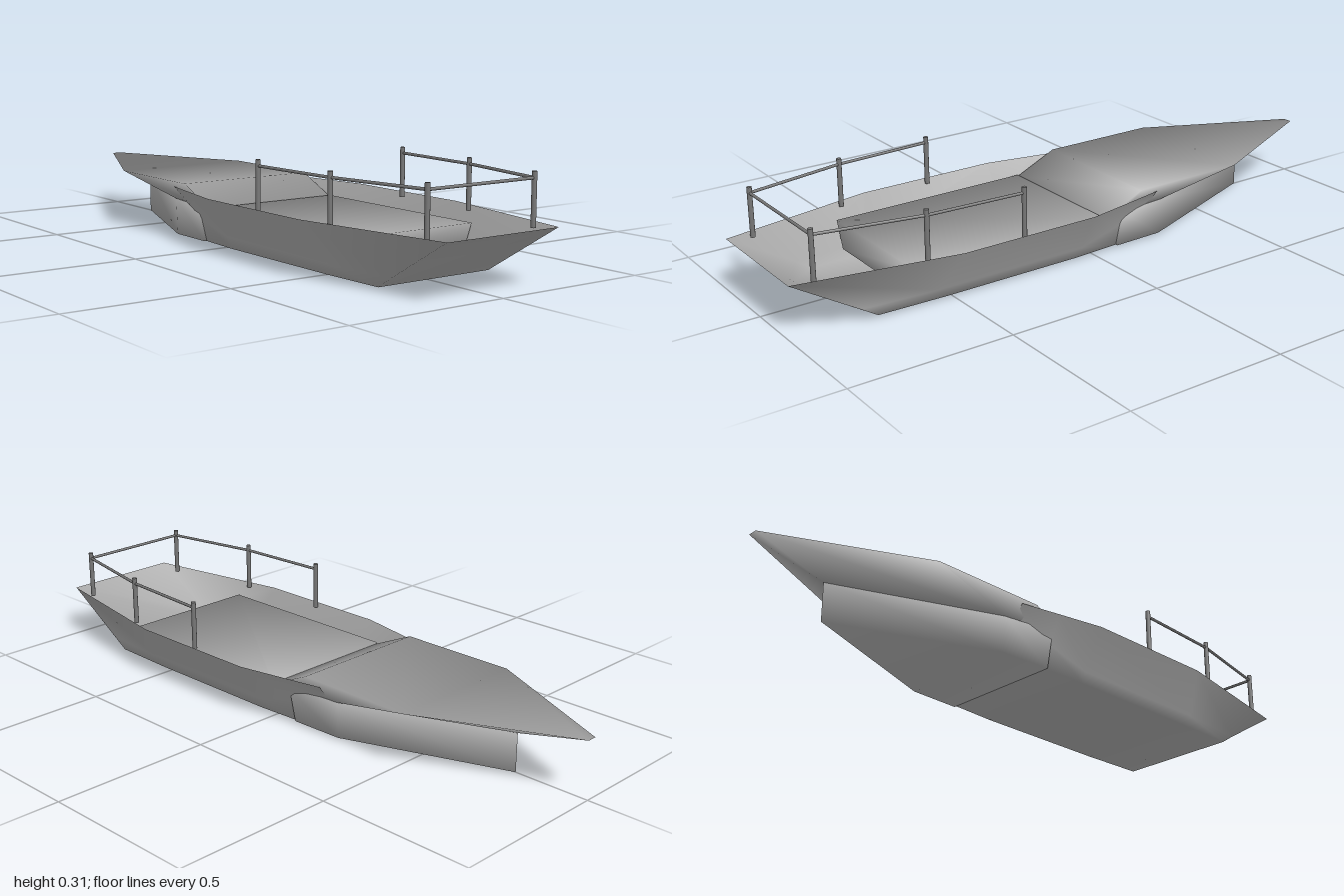
import * as THREE from 'three';

const hullPaint = new THREE.MeshStandardMaterial({ color: 0xaaaaaa, side: THREE.DoubleSide });
const railPaint = new THREE.MeshStandardMaterial({ color: 0x777777 });

// Normals shared by all corners at one place, each face weighted by its corner angle
function smoothNormals(corners) {
  const key = p => [p.x, p.y, p.z].map(v => Math.round(v * 1e4)).join();
  const sums = new Map();
  for (let i = 0; i < corners.length; i += 3) {
    const t = corners.slice(i, i + 3);
    const normal = new THREE.Triangle(...t).getNormal(new THREE.Vector3());
    t.forEach((p, j) => {
      const angle = t[(j + 1) % 3].clone().sub(p).angleTo(t[(j + 2) % 3].clone().sub(p));
      const sum = sums.get(key(p)) ?? new THREE.Vector3();
      sums.set(key(p), sum.addScaledVector(normal, angle));
    });
  }
  return corners.map(p => sums.get(key(p)).clone().normalize());
}

// Smooth skin over half sections (points on the +x side, listed top to bottom) mirrored across x = 0
function loft(name, halfSections, { closed = true, endCap = true } = {}) {
  const sections = halfSections.map(half => {
    const pts = half.map(p => new THREE.Vector3(...p));
    return [...pts, ...pts.slice().reverse().map(p => new THREE.Vector3(-p.x, p.y, p.z))];
  });
  const corners = [];
  const tri = (...t) => {
    if (new THREE.Triangle(...t).getArea() > 1e-7) corners.push(...t);
  };
  const n = sections[0].length;
  for (let i = 0; i < sections.length - 1; i++) {
    const s = sections[i], t = sections[i + 1];
    for (let j = 0; j < (closed ? n : n - 1); j++) {
      const k = (j + 1) % n;
      tri(s[j], s[k], t[k]);
      tri(s[j], t[k], t[j]);
    }
  }
  const first = sections[0], last = sections[sections.length - 1];
  for (let j = 1; j < n - 1; j++) {
    tri(first[0], first[j + 1], first[j]);
    if (endCap) tri(last[0], last[j], last[j + 1]);
  }
  const geometry = new THREE.BufferGeometry().setFromPoints(corners);
  const normals = smoothNormals(corners).flatMap(v => v.toArray());
  geometry.setAttribute('normal', new THREE.Float32BufferAttribute(normals, 3));
  const mesh = new THREE.Mesh(geometry, hullPaint);
  mesh.name = name;
  return mesh;
}

// Round bar between two points
function bar(name, a, b, radius) {
  const dir = b.clone().sub(a);
  const mesh = new THREE.Mesh(new THREE.CylinderGeometry(radius, radius, dir.length(), 12), railPaint);
  mesh.position.copy(a).add(b).multiplyScalar(0.5);
  mesh.quaternion.setFromUnitVectors(new THREE.Vector3(0, 1, 0), dir.normalize());
  mesh.name = name;
  return mesh;
}

export function createModel() {
  const boat = new THREE.Group();
  boat.name = 'boat';

  // Open hull shell with a flat sloping bow plate
  boat.add(loft('hull', [
    [[0.195, 0.165, 1], [0.197, 0.04, 0.79], [0.197, 0.008, 0.74]],
    [[0.285, 0.165, 0.51], [0.215, 0.04, 0.55], [0.202, 0.007, 0.52]],
    [[0.285, 0.165, 0.06], [0.215, 0.04, 0.06], [0.202, 0.007, 0.06]],
    [[0.256, 0.165, -0.09], [0.213, 0.08, -0.09], [0.195, 0.008, -0.09]],
    [[0.23, 0.165, -0.22], [0.198, 0.12, -0.22], [0.17, 0.008, -0.2]],
  ], { closed: false, endCap: false }));

  // Lower stern running to an upright edge
  boat.add(loft('lowerStern', [
    [[0.226, 0.12, -0.09], [0.203, 0.008, -0.09]],
    [[0.2, 0.12, -0.26], [0.195, 0.006, -0.26]],
    [[0, 0.12, -0.76], [0, 0, -0.76]],
  ]));

  // Sunken middle deck
  boat.add(loft('middleDeck', [0.635, -0.02]
    .map(z => [[0.23, 0.123, z], [0.2, 0.04, z]])));

  // Raised rear deck: ramp, level part and overhanging tip
  boat.add(loft('rearDeck', [
    [[0.23, 0.118, -0.02], [0.21, 0.1, -0.02]],
    [[0.23, 0.181, -0.16], [0.21, 0.12, -0.11]],
    [[0.23, 0.181, -0.54], [0.2, 0.12, -0.26]],
    [[0.015, 0.181, -1], [0, 0.12, -0.76]],
  ]));

  // Bow railing: posts in mirrored pairs, joined by a top rail, set slightly off centre
  const railing = new THREE.Group();
  railing.name = 'railing';
  railing.position.x = -0.004;
  const half = [[0.266, 0.295], [0.249, 0.605], [0.187, 0.92]];
  const spots = [...half, ...half.slice().reverse().map(([x, z]) => [-x, z])];
  const at = ([x, z], y) => new THREE.Vector3(x, y, z);
  spots.forEach((p, i) => {
    railing.add(bar('railPost', at(p, 0.153), at(p, 0.305), 0.0075));
    if (i > 0) railing.add(bar('topRail', at(spots[i - 1], 0.287), at(p, 0.287), 0.0045));
  });
  boat.add(railing);
  return boat;
}
